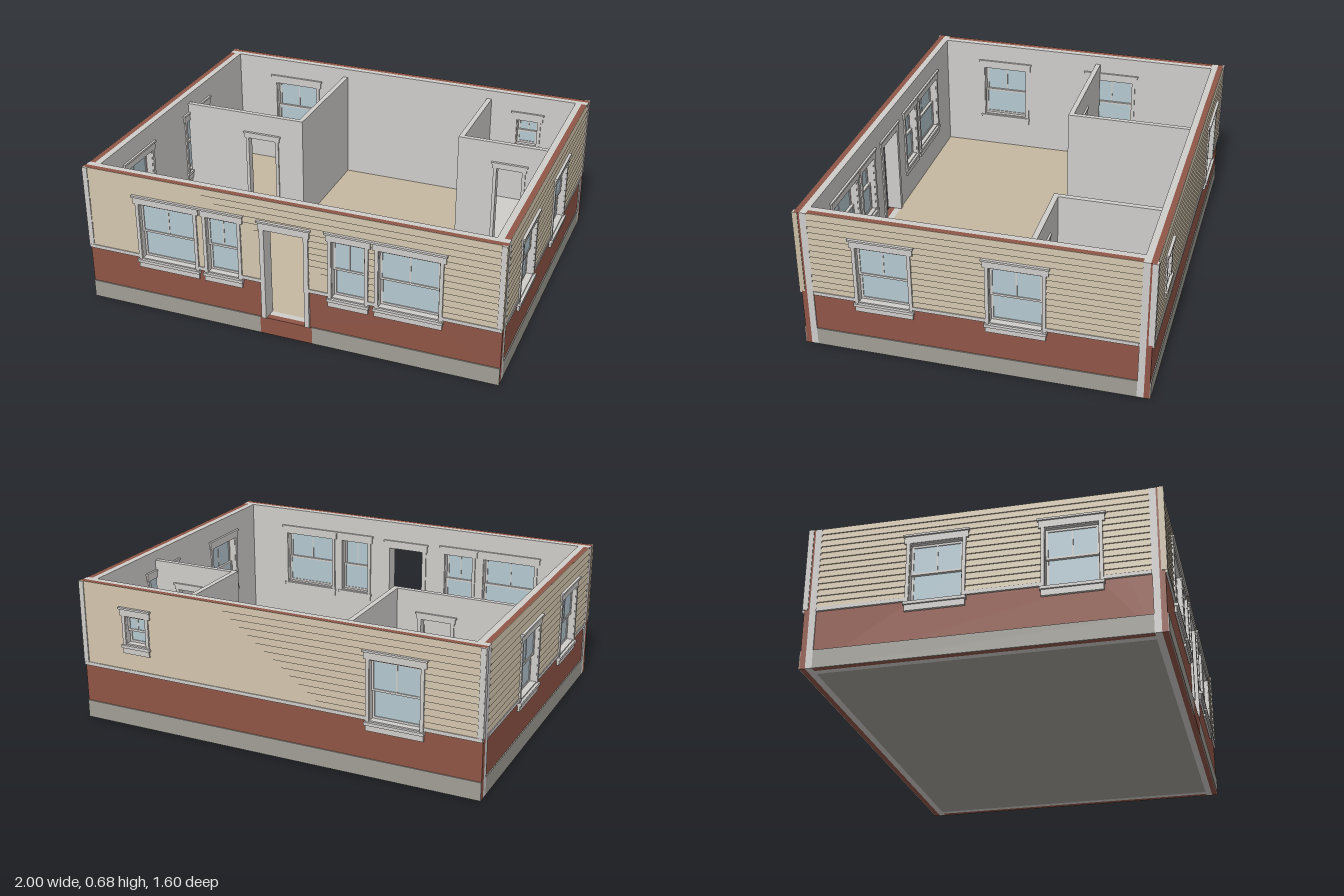
import * as THREE from 'three';

const mat = (name, color) => {
  const m = new THREE.MeshStandardMaterial({ color });
  m.name = name;
  return m;
};

export function createModel() {
  const trim = mat('trim white', 0xcfcdca);
  const siding = mat('siding beige', 0xc9bca5);
  const floorTan = mat('floor tan', 0xc5b8a2);
  const brick = mat('brick red', 0x8f5546);
  const stone = mat('foundation grey', 0xa19e96);
  const glass = mat('glass blue', 0xb4c8d0);

  const H = 0.68, BASE = 0.085, BAND = 0.28;
  const model = new THREE.Group();
  model.name = 'house';

  const add = (parent, name, geo, m) => {
    const mesh = new THREE.Mesh(geo, m);
    mesh.name = name;
    parent.add(mesh);
    return mesh;
  };
  // Box given by its limits on each axis
  const box = (parent, name, m, x0, x1, y0, y1, z0, z1) => {
    const b = add(parent, name, new THREE.BoxGeometry(x1 - x0, y1 - y0, z1 - z0), m);
    b.position.set((x0 + x1) / 2, (y0 + y1) / 2, (z0 + z1) / 2);
    return b;
  };
  // Upright slab with rectangular openings
  const slab = (parent, name, m, x0, x1, y0, y1, z0, z1, openings) => {
    const s = new THREE.Shape();
    s.moveTo(x0, y0).lineTo(x1, y0).lineTo(x1, y1).lineTo(x0, y1).closePath();
    for (const o of openings) {
      const a = o.cx - o.w / 2, b = o.cx + o.w / 2;
      const h = new THREE.Path();
      h.moveTo(a, o.y0).lineTo(a, o.y1).lineTo(b, o.y1).lineTo(b, o.y0).closePath();
      s.holes.push(h);
    }
    const geo = new THREE.ExtrudeGeometry(s, { depth: z1 - z0, bevelEnabled: false });
    return add(parent, name, geo.translate(0, 0, z0), m);
  };
  // Free stretches of a strip between the openings that cross it
  const stretches = (x0, x1, y0, y1, openings) => {
    const out = [];
    let x = x0;
    openings.filter(o => o.y0 < y1 && o.y1 > y0).sort((a, b) => a.cx - b.cx).forEach(o => {
      if (o.cx - o.w / 2 > x) out.push([x, o.cx - o.w / 2]);
      x = o.cx + o.w / 2;
    });
    out.push([x, x1]);
    return out;
  };
  // Rectangular ring of four bars
  const ring = (parent, name, m, x0, x1, y0, y1, z0, z1, t) => {
    box(parent, name, m, x0, x0 + t, y0, y1, z0, z1);
    box(parent, name, m, x1 - t, x1, y0, y1, z0, z1);
    box(parent, name, m, x0 + t, x1 - t, y0, y0 + t, z0, z1);
    box(parent, name, m, x0 + t, x1 - t, y1 - t, y1, z0, z1);
  };

  // Sash window: jambs, two sashes, glass, casing on both faces
  const windowUnit = (parent, o) => {
    const g = new THREE.Group();
    g.name = 'window';
    g.position.x = o.cx;
    parent.add(g);
    const h = o.w / 2, mid = (o.y0 + o.y1) / 2, s = h - 0.008;
    ring(g, 'jamb', trim, -h, h, o.y0, o.y1, -0.06, 0.002, 0.008);
    ring(g, 'upperSash', trim, -s, s, mid - 0.006, o.y1 - 0.008, -0.028, -0.016, 0.01);
    ring(g, 'lowerSash', trim, -s, s, o.y0 + 0.008, mid + 0.006, -0.04, -0.028, 0.01);
    box(g, 'muntin', trim, -0.003, 0.003, mid, o.y1 - 0.01, -0.026, -0.018);
    box(g, 'upperGlass', glass, -s, s, mid, o.y1 - 0.01, -0.024, -0.02);
    box(g, 'lowerGlass', glass, -s, s, o.y0 + 0.01, mid, -0.036, -0.032);
    for (const [z0, z1, p] of [[-0.004, 0.007, 0.015], [-0.067, -0.058, -0.071]]) {
      const a = Math.min(z0, p), b = Math.max(z1, p);
      for (const k of [-1, 1]) {
        const c = k * (h + 0.002);
        box(g, 'casing', trim, c - 0.008, c + 0.008, o.y0 - 0.008, o.y1, z0, z1);
      }
      box(g, 'header', trim, -h - 0.02, h + 0.02, o.y1 - 0.004, 0.58, z0, z1);
      box(g, 'headerCap', trim, -h - 0.025, h + 0.025, 0.579, 0.588, a, b);
      box(g, 'sill', trim, -h - 0.015, h + 0.015, o.y0 - 0.012, o.y0 + 0.002, a, b);
      box(g, 'apron', trim, -h - 0.01, h + 0.01, o.y0 - 0.04, o.y0 - 0.012, z0, z1);
    }
  };

  // Open doorway with casing on both faces; the wall lies between zi and zo
  const doorFrame = (parent, o, zi, zo, t, top) => {
    const g = new THREE.Group();
    g.name = 'doorFrame';
    g.position.x = o.cx;
    parent.add(g);
    const h = o.w / 2;
    for (const k of [-1, 1]) {
      const c = k * (h + t / 2 - 0.002);
      box(g, 'doorCasing', trim, c - t / 2, c + t / 2, BASE, o.y1, zi - 0.006, zo + 0.007);
    }
    box(g, 'doorHeader', trim, -h - t - 0.004, h + t + 0.004, o.y1 - 0.002, top - 0.008, zi - 0.006, zo + 0.007);
    box(g, 'doorHeaderCap', trim, -h - t - 0.01, h + t + 0.01, top - 0.008, top, zi - 0.01, zo + 0.013);
  };

  // Outer wall, built facing +z with its outer face at z = 0
  const outerWall = (name, half, dist, angle, openings, corners) => {
    const g = new THREE.Group();
    g.name = name;
    g.rotation.y = angle;
    g.position.set(Math.sin(angle) * dist, 0, Math.cos(angle) * dist);
    model.add(g);
    slab(g, 'innerLining', trim, -half, half, 0, H, -0.06, -0.03, openings);
    slab(g, 'brickWall', brick, -half, half, 0, H, -0.03, -0.005, openings);
    const door = openings.find(o => o.door);
    const gap = door ? [{ cx: 0, w: 0.25, y0: 0, y1: BASE }] : [];
    for (const [a, b] of stretches(-half, half, 0, BASE, gap))
      box(g, 'foundation', stone, a, b, 0, BASE, -0.005, 0);
    if (door) box(g, 'doorStep', brick, -0.125, 0.125, 0, BASE, -0.005, 0);
    // Lapped boards, thicker at the lower edge
    const edge = corners ? half - 0.023 : half, rows = 13, rh = (H - BAND) / rows;
    const lap = new THREE.Shape();
    lap.moveTo(0, 0).lineTo(0.007, 0).lineTo(0.002, rh).lineTo(0, rh).closePath();
    for (let i = 0; i < rows; i++) {
      const y = BAND + i * rh;
      for (const [a, b] of stretches(-edge, edge, y, y + rh, openings)) {
        const geo = new THREE.ExtrudeGeometry(lap, { depth: b - a, bevelEnabled: false });
        add(g, 'sidingBoard', geo.rotateY(-Math.PI / 2).translate(b, y, -0.005), siding);
      }
    }
    for (const [a, b] of stretches(-half, half, 0.268, 0.285, openings))
      box(g, 'bandTrim', trim, a, b, 0.268, 0.285, -0.005, 0.005);
    if (corners) for (const k of [-1, 1]) {
      const c = k * (half - 0.0115), e = k * (half + 0.001);
      box(g, 'cornerBoard', trim, c - 0.0115, c + 0.0115, BAND, H, -0.005, 0.004);
      box(g, 'cornerReturn', corners, e - 0.002, e + 0.002, BAND, H, -0.022, 0.003);
    }
    for (const o of openings)
      if (o.door) doorFrame(g, o, -0.06, 0, 0.022, 0.58);
      else windowUnit(g, o);
  };

  const win = (cx, w, y0 = 0.26) => ({ cx, w, y0, y1: 0.55 });
  const front = [{ cx: 0, w: 0.19, y0: BASE, y1: 0.54, door: true }];
  for (const k of [-1, 1]) front.push(win(k * 0.572, 0.285), win(k * 0.298, 0.165));
  outerWall('frontWall', 0.985, 0.785, 0, front, siding);
  outerWall('backWall', 0.985, 0.785, Math.PI, [win(0.593, 0.245), win(-0.688, 0.12, 0.405)], trim);
  for (const k of [-1, 1])
    outerWall(k > 0 ? 'leftWall' : 'rightWall', 0.725, 0.985, k * Math.PI / 2,
      [win(-k * 0.395, 0.245), win(k * 0.195, 0.245)], null);

  // Slab and floors
  box(model, 'baseSlab', stone, -0.925, 0.925, 0, 0.08, -0.725, 0.725);
  box(model, 'floor', floorTan, -0.925, 0.925, 0.08, BASE, -0.725, 0.725);
  box(model, 'tileFloor', trim, 0.49, 0.925, BASE, BASE + 0.002, -0.725, -0.25);

  // Partition walls of the two back rooms
  const P = 0.635;
  const rooms = [
    { x0: -0.925, x1: -0.295, z: -0.11, side: -0.32, door: { cx: -0.515, w: 0.15, y0: BASE, y1: 0.505 } },
    { x0: 0.47, x1: 0.925, z: -0.23, side: 0.47, door: { cx: 0.73, w: 0.13, y0: BASE, y1: 0.505 } },
  ];
  for (const r of rooms) {
    const g = new THREE.Group();
    g.name = 'backRoom';
    model.add(g);
    box(g, 'sidePartition', trim, r.side, r.side + 0.025, BASE, P, -0.725, r.z - 0.025);
    const w = new THREE.Group();
    w.name = 'frontPartition';
    w.position.z = r.z;
    g.add(w);
    slab(w, 'partitionPanel', trim, r.x0, r.x1, BASE - 0.002, P, -0.025, 0, [r.door]);
    doorFrame(w, r.door, -0.025, 0, 0.016, 0.535);
  }
  return model;
}
